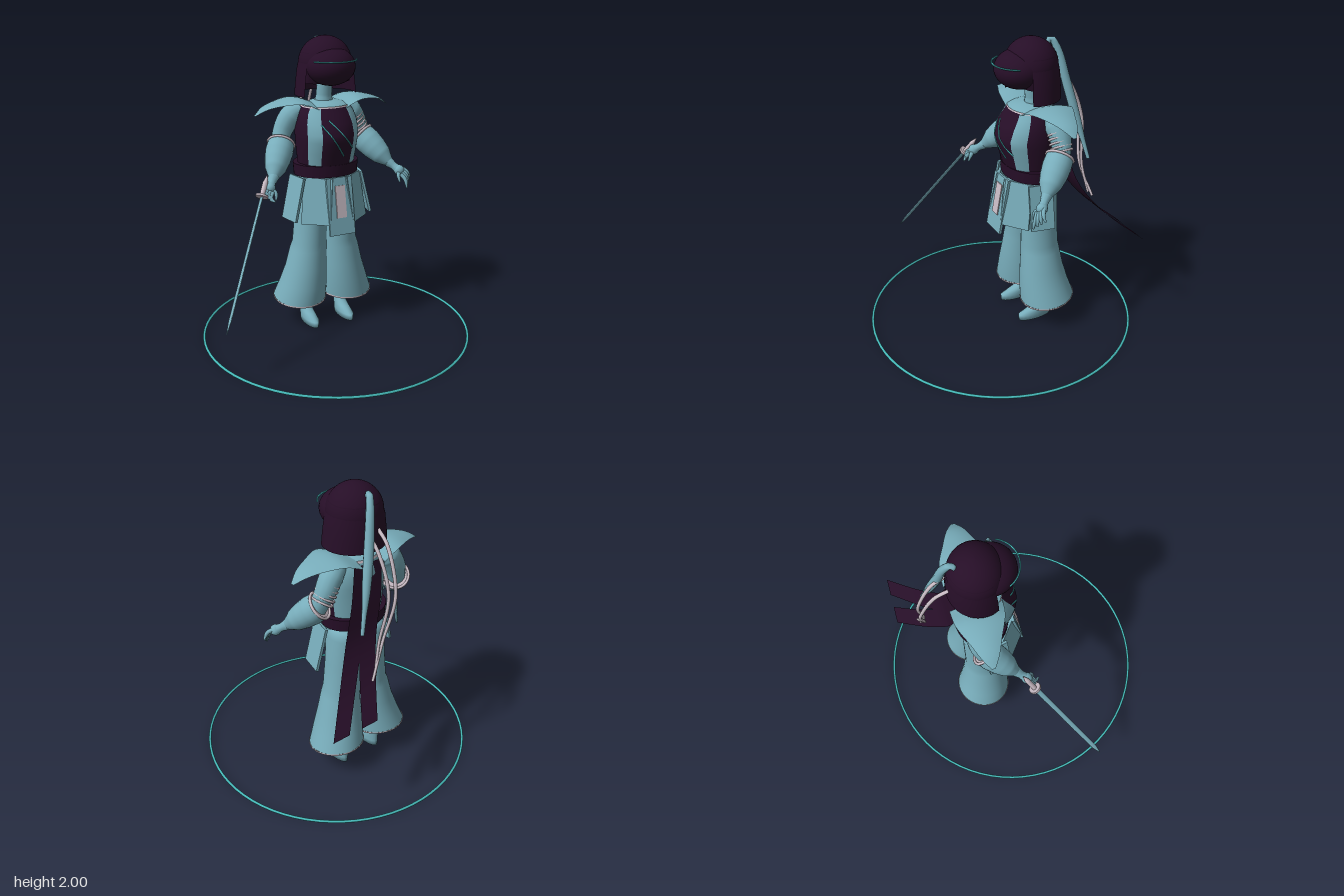
import * as THREE from 'three';

const CX = 0.02, CZ = -0.2; // body axis
const V = (x, y, z) => new THREE.Vector3(x, y, z);
const mat = (name, color, side = THREE.FrontSide) => {
  const m = new THREE.MeshStandardMaterial({ color, side });
  m.name = name;
  return m;
};

export function createModel() {
  const root = new THREE.Group();
  root.name = 'swordFighter';
  const blue = mat('dustyBlue', 0x78adbb, THREE.DoubleSide);
  const dark = mat('darkPlum', 0x260e27, THREE.DoubleSide);
  const pale = mat('paleGrey', 0xc9bcc5, THREE.DoubleSide);
  const teal = mat('teal', 0x45b8b8);

  const add = (name, geo, material) => {
    const m = new THREE.Mesh(geo, material);
    m.name = name;
    root.add(m);
    return m;
  };

  // Surface from a rule fn(u, v); u wraps round when closed
  const grid = (nu, nv, fn, closed) => {
    const pos = [], idx = [], cols = closed ? nu : nu + 1;
    for (let j = 0; j <= nv; j++)
      for (let i = 0; i < cols; i++) pos.push(...fn(i / nu, j / nv, j).toArray());
    for (let j = 0; j < nv; j++)
      for (let i = 0; i < nu; i++) {
        const a = j * cols + i, b = j * cols + (i + 1) % cols;
        idx.push(a, b, b + cols, a, b + cols, a + cols);
      }
    const g = new THREE.BufferGeometry();
    g.setAttribute('position', new THREE.Float32BufferAttribute(pos, 3));
    g.setIndex(idx);
    g.computeVertexNormals();
    return g;
  };

  // Loft of oval rings [y, halfWidth, front, back, x, z, tilt], bottom to top
  const loft = (rings, a0 = -Math.PI, a1 = Math.PI, n = 40) =>
    grid(n, rings.length - 1, (u, v, j) => {
      const [y, rx, rf, rb = rf, x = CX, z = CZ, tilt = 0] = rings[j];
      const a = a0 + (a1 - a0) * u, c = Math.cos(a), dz = (c > 0 ? rf : rb) * c;
      return V(x + rx * Math.sin(a), y - tilt * dz, z + dz);
    }, a1 - a0 > 6.28);

  // Round limb along a curve, with radii spread evenly over its length
  const limb = (pts, radii, sides = 14, n = 24) => {
    const curve = new THREE.CatmullRomCurve3(pts), f = curve.computeFrenetFrames(n);
    return grid(sides, n, (u, v, j) => {
      const k = v * (radii.length - 1), i = Math.min(Math.floor(k), radii.length - 2);
      const r = THREE.MathUtils.lerp(radii[i], radii[i + 1], k - i), a = u * Math.PI * 2;
      return curve.getPointAt(v).addScaledVector(f.normals[j], r * Math.cos(a))
        .addScaledVector(f.binormals[j], r * Math.sin(a));
    }, true);
  };

  // Ground ring
  const ring = add('groundRing', new THREE.TorusGeometry(0.905, 0.009, 8, 72), teal);
  ring.rotation.x = Math.PI / 2;
  ring.position.y = 0.012;

  // Helmet: dome, rounded mask, neck guard, glowing visor line
  const dome = [[1.7, 0.172, 0.1, 0.17]];
  for (let i = 0; i <= 12; i++) {
    const t = i / 12 * Math.PI / 2;
    dome.push([1.82 + 0.18 * Math.sin(t), 0.178 * Math.cos(t), 0.172 * Math.cos(t)]);
  }
  add('helmetDome', loft(dome), dark);
  const mask = add('faceMask', new THREE.SphereGeometry(1, 36, 24), dark);
  mask.scale.set(0.163, 0.125, 0.16);
  mask.position.set(CX, 1.81, -0.12);
  add('neckGuard', loft([[1.62, 0.206, 0.19], [1.7, 0.198, 0.187], [1.8, 0.185, 0.178],
    [1.9, 0.16, 0.155]], 1.12, 2 * Math.PI - 1.12), dark);
  const visor = add('visorLine', new THREE.TorusGeometry(0.165, 0.005, 6, 32, 2.3), teal);
  visor.rotation.set(Math.PI / 2, 0, (Math.PI - 2.3) / 2, 'XYZ');
  visor.position.set(CX, 1.855, -0.112);
  add('neck', limb([V(CX, 1.5, -0.23), V(CX, 1.72, -0.21)], [0.075, 0.052, 0.05]), blue);

  // Torso: dark breastplate with two stripes, blue back
  const chest = [[1.13, 0.19, 0.165, 0.15], [1.25, 0.205, 0.2, 0.15], [1.33, 0.212, 0.228, 0.15],
    [1.38, 0.214, 0.233, 0.155], [1.45, 0.21, 0.205, 0.16], [1.51, 0.19, 0.165, 0.15],
    [1.55, 0.165, 0.14, 0.14]];
  const parts = [['breastplate', dark, -0.55, 0.55], ['back', blue, 1.9, 2 * Math.PI - 1.9]];
  for (const s of [-1, 1]) {
    parts.push(['chestStripe', blue, ...(s > 0 ? [0.55, 1.03] : [-1.03, -0.55])]);
    parts.push(['breastplateSide', dark, ...(s > 0 ? [1.03, 1.9] : [-1.9, -1.03])]);
  }
  for (const [name, m, a, b] of parts) add(name, loft(chest, a, b, 16), m);
  add('shoulderCap', loft([[1.55, 0.165, 0.14], [1.575, 0.1, 0.1], [1.58, 0, 0]]), blue);
  add('neckline', loft([[1.54, 0.17, 0.145], [1.555, 0.165, 0.14]]), pale);

  // Two slashes laid on the breastplate
  const onChest = (x, y) => {
    const i = Math.max(1, chest.findIndex(r => r[0] >= y)), p = chest[i - 1], q = chest[i];
    const mix = k => THREE.MathUtils.mapLinear(y, p[0], q[0], p[k], q[k]);
    return V(x, y, CZ + mix(2) * Math.sqrt(1 - ((x - CX) / mix(1)) ** 2));
  };
  for (const [x0, y0, x1, y1] of [[-0.09, 1.45, 0.06, 1.235], [-0.04, 1.475, 0.13, 1.28]]) {
    const pts = [];
    for (let i = 0; i <= 10; i++) pts.push(onChest(x0 + (x1 - x0) * i / 10, y0 + (y1 - y0) * i / 10));
    add('chestSlash', limb(pts, [0.005, 0.005], 6), teal);
  }

  // Belt and pelvis
  add('belt', loft([[1.09, 0, 0], [1.09, 0.222, 0.175], [1.09, 0.222, 0.175],
    [1.17, 0.228, 0.178], [1.17, 0.228, 0.178], [1.17, 0.15, 0.12]]), dark);
  add('pelvis', loft([[0.9, 0.18, 0.12], [1.09, 0.185, 0.13]]), blue);

  // Hanging skirt panels, hinged at the belt
  const panel = (name, w, h, off, y, z, yaw, lean, m = blue, d = 0.018) => {
    const g = new THREE.BoxGeometry(w, h, d);
    g.translate(0, -h / 2, 0);
    const p = add(name, g, m);
    p.position.set(CX + off, y, z);
    p.rotation.set(-lean, yaw, 0, 'YXZ');
  };
  panel('frontPanel', 0.185, 0.385, 0, 1.095, -0.005, 0, 0.17);
  panel('frontPanelBadge', 0.07, 0.215, 0, 1.043, 0.016, 0, 0.17, pale, 0.009);
  for (const s of [-1, 1]) {
    panel('diagonalPanel', 0.2, 0.31, s * 0.125, 1.09, -0.055, s * 0.65, 0.18);
    panel('sidePanel', 0.16, 0.3, s * 0.225, 1.09, -0.16, s * 1.38, 0.23);
  }

  for (const s of [-1, 1]) {
    const X = o => CX + s * o;

    // Flared trouser leg with pale hem and closed underside
    add('trouserLeg', loft([[0.195, 0.183, 0.18, 0.185, X(0.178), -0.255, 0.12],
      [0.3, 0.165, 0.168, 0.168, X(0.157), -0.243, 0.07], [0.42, 0.143, 0.15, 0.15, X(0.138), -0.234],
      [0.55, 0.126, 0.133, 0.133, X(0.123), -0.228], [0.6, 0.116, 0.128, 0.128, X(0.114), -0.226],
      [0.8, 0.106, 0.125, 0.125, X(0.104), -0.225], [1.0, 0.1, 0.123, 0.123, X(0.1), -0.225],
      [1.06, 0.085, 0.105, 0.105, X(0.1), -0.225], [1.08, 0, 0, 0, X(0.1), -0.225]]), blue);
    add('trouserHem', loft([[0.185, 0, 0, 0, X(0.178), -0.255], [0.185, 0.185, 0.182, 0.187, X(0.178), -0.255, 0.12],
      [0.185, 0.185, 0.182, 0.187, X(0.178), -0.255, 0.12],
      [0.197, 0.186, 0.183, 0.188, X(0.178), -0.255, 0.12]]), pale);

    // Foot and ankle
    add('foot', loft([[0, 0, 0, 0, X(0.135), -0.19], [0, 0.044, 0.125, 0.125, X(0.135), -0.19],
      [0.04, 0.047, 0.128, 0.125, X(0.135), -0.19], [0.075, 0.042, 0.085, 0.085, X(0.135), -0.23],
      [0.11, 0.038, 0.05, 0.05, X(0.135), -0.265], [0.15, 0.034, 0.038, 0.038, X(0.135), -0.272],
      [0.26, 0.04, 0.042, 0.042, X(0.135), -0.268]], undefined, undefined, 20), blue);

    // Arched shoulder wing running out to a narrow tip
    const ridge = new THREE.CatmullRomCurve3([V(X(0.08), 1.565, 0.16), V(X(0.2), 1.605, 0.15),
      V(X(0.33), 1.588, 0.095), V(X(0.42), 1.555, 0.055), V(X(0.485), 1.505, 0.012)]);
    add('shoulderWing', grid(10, 20, (u, v) => {
      const p = ridge.getPoint(v), w = u * 2 - 1;
      return V(p.x, p.y - 0.035 * w * w * (1 - v), -0.235 + p.z * w);
    }), blue);

    // Arm: shoulder, upper arm, flared sleeve with rim
    add('upperArm', limb([V(X(0.15), 1.52, -0.25), V(X(0.22), 1.48, -0.265), V(X(0.28), 1.38, -0.27),
      V(X(0.32), 1.27, -0.24)], [0.05, 0.075, 0.07, 0.062, 0.058]), blue);
    const rim = V(X(0.3), 1.3, -0.25), wrist = V(X(0.425), 1.13, -0.085);
    add('sleeve', limb([rim, wrist], [0.088, 0.092, 0.085, 0.07, 0.035], 24), blue);
    const dir = wrist.clone().sub(rim).normalize();
    const trim = add('sleeveRim', new THREE.TorusGeometry(0.088, 0.009, 8, 28), pale);
    trim.position.copy(rim);
    trim.quaternion.setFromUnitVectors(V(0, 0, 1), dir);
    const lid = add('sleeveOpening', new THREE.CircleGeometry(0.088, 28), pale);
    lid.position.copy(rim);
    lid.quaternion.copy(trim.quaternion);

    // Hand: wrist, palm, curled or open fingers
    const palm = V(X(0.475), 1.08, -0.025);
    add('wrist', limb([wrist, palm], [0.036, 0.026, 0.032], 10, 8), blue);
    const knuckle = add('palm', new THREE.SphereGeometry(0.036, 16, 12), blue);
    knuckle.position.copy(palm);
    for (let i = 0; i < 4; i++) {
      const k = i - 1.5;
      const mid = V(X(0.51 + 0.012 * k), 1.045 + 0.014 * k, 0.012 - 0.012 * k);
      const tip = s > 0 ? V(X(0.525 + 0.018 * k), 0.998 + 0.02 * k, 0.02 - 0.018 * k)
        : V(X(0.485 + 0.008 * k), 1.03 + 0.014 * k, 0.035 - 0.012 * k);
      add('finger', limb([V(X(0.485 + 0.01 * k), 1.075 + 0.01 * k, -0.01 - 0.01 * k), mid, tip],
        [0.014, 0.014, 0.012, 0.006], 8, 10), blue);
    }
    add('thumb', limb([palm, V(X(0.45), 1.05, 0.01), V(X(0.455), 1.01, 0.025)],
      [0.016, 0.014, 0.007], 8, 8), blue);
  }

  // Wrapped bands on the left upper arm
  for (let i = 0; i < 5; i++) {
    const band = add('armBand', new THREE.TorusGeometry(0.066, 0.008, 6, 24), pale);
    band.position.set(0.265 + i * 0.012, 1.44 - i * 0.027, -0.268);
    band.quaternion.setFromUnitVectors(V(0, 0, 1), V(0.55, -0.83, 0).normalize());
  }

  // Sword in the right hand
  const hilt = V(-0.525, 1.045, 0.01), tip = V(-0.92, 0.34, 0.39);
  const along = tip.clone().sub(hilt).normalize();
  const wide = V(0.21, 0.38, -0.9).addScaledVector(along, -along.dot(V(0.21, 0.38, -0.9))).normalize();
  const thin = along.clone().cross(wide);
  add('blade', grid(8, 20, (u, v) => {
    const a = u * Math.PI * 2, k = v > 0.92 ? Math.max(0.05, (1 - v) / 0.08) : 1;
    return hilt.clone().lerp(tip, v).addScaledVector(wide, 0.017 * k * Math.cos(a))
      .addScaledVector(thin, 0.006 * k * Math.sin(a));
  }, true), blue);
  const guard = add('swordGuard', new THREE.CylinderGeometry(0.04, 0.04, 0.014, 24), pale);
  guard.position.copy(hilt);
  guard.quaternion.setFromUnitVectors(V(0, 1, 0), along);
  add('swordGrip', limb([hilt.clone().addScaledVector(along, -0.14), hilt], [0.004, 0.017, 0.017, 0.016], 10), pale);

  // Plume and two cords behind the helmet
  add('plume', limb([V(0.02, 1.93, -0.31), V(0.025, 1.975, -0.335), V(0.05, 1.9, -0.375), V(0.09, 1.7, -0.42),
    V(0.15, 1.45, -0.475), V(0.22, 1.19, -0.53)], [0.015, 0.024, 0.028, 0.03, 0.03, 0.025, 0.015, 0.012], 14, 40), blue);
  const cords = [[V(-0.02, 1.75, -0.37), V(-0.015, 1.68, -0.46), V(0.005, 1.4, -0.57), V(0.08, 1.1, -0.555), V(0.19, 0.88, -0.6)],
    [V(0.07, 1.75, -0.37), V(0.065, 1.68, -0.46), V(0.06, 1.42, -0.57), V(0.11, 1.1, -0.555), V(0.16, 0.9, -0.585)]];
  for (const c of cords) add('cord', limb(c, [0.012, 0.011, 0.009], 8, 40), pale);

  // Two long sash ribbons trailing from the upper back
  const sash = [[0.0, 0.02, 0.09, 0.19, 0.33], [0.06, 0.11, 0.2, 0.345, 0.545]];
  for (const xs of sash) {
    const path = new THREE.CatmullRomCurve3([V(xs[0], 1.53, -0.345), V(xs[1], 1.3, -0.38),
      V(xs[2], 1.06, -0.43), V(xs[3], 0.87, -0.555), V(xs[4], 0.71, -0.745)]);
    add('sashRibbon', grid(2, 32, (u, v) => path.getPoint(v).add(V((u - 0.5) * (0.15 - 0.03 * v), 0, 0))), dark);
  }
  return root;
}
